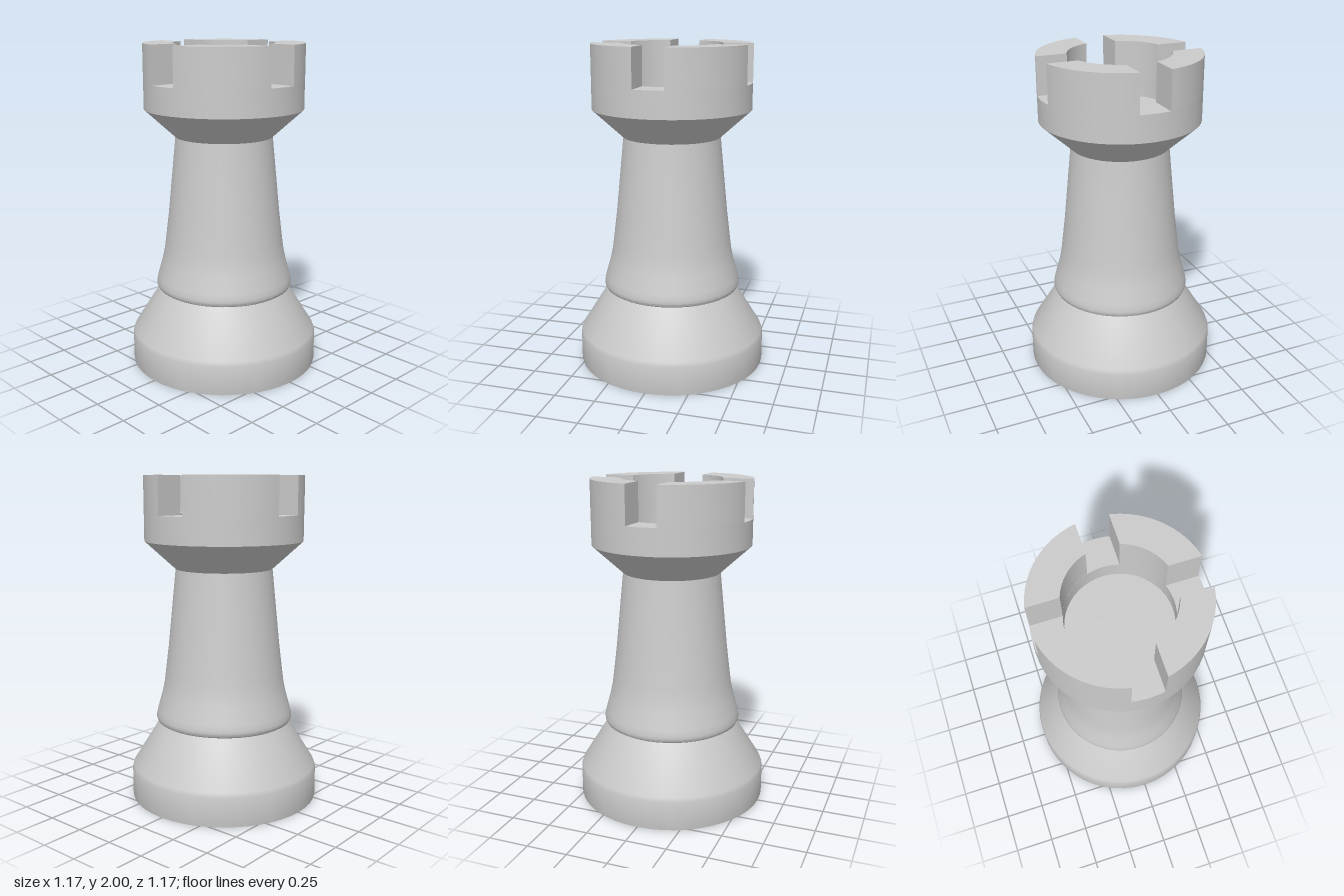
import * as THREE from 'three';
import { toCreasedNormals } from 'three/addons/utils/BufferGeometryUtils.js';

const SIDES = 48;
const CREASE = 0.45;
const CROWN_R = 0.485, POCKET_R = 0.305, SLOT_HALF = 0.093;
const SLOT_FLOOR = 1.77, TOP = 2;

const material = new THREE.MeshStandardMaterial({ color: 0xcccccc });

function turned(name, profile) {
  const points = profile.map(([r, y]) => new THREE.Vector2(r, y));
  const geometry = toCreasedNormals(new THREE.LatheGeometry(points, SIDES), CREASE);
  const mesh = new THREE.Mesh(geometry, material);
  mesh.name = name;
  return mesh;
}

// One quarter of the parapet, with slot walls parallel to the axes
function merlonGeometry() {
  const outer = Math.asin(SLOT_HALF / CROWN_R);
  const inner = Math.asin(SLOT_HALF / POCKET_R);
  const shape = new THREE.Shape();
  shape.absarc(0, 0, CROWN_R, outer, Math.PI / 2 - outer, false);
  shape.absarc(0, 0, POCKET_R, Math.PI / 2 - inner, inner, true);
  shape.closePath();
  const geometry = new THREE.ExtrudeGeometry(shape, {
    depth: TOP - SLOT_FLOOR, bevelEnabled: false, curveSegments: 12,
  });
  geometry.rotateX(-Math.PI / 2);
  geometry.translate(0, SLOT_FLOOR, 0);
  return toCreasedNormals(geometry, CREASE);
}

export function createModel() {
  const model = new THREE.Group();
  model.name = 'rook';

  // Base with a flared recess underneath
  model.add(turned('base', [
    [0, 0.6], [0.23, 0.6], [0.23, 0.1], [0.238, 0.06], [0.262, 0.025], [0.3, 0],
    [0.583, 0], [0.585, 0.01], [0.585, 0.18], [0.577, 0.205], [0.405, 0.48],
  ]));

  // Tapered column with a rounded foot
  model.add(turned('column', [
    [0.405, 0.48], [0.418, 0.488], [0.426, 0.505], [0.426, 0.525], [0.418, 0.56],
    [0.39, 0.66], [0.375, 0.73], [0.366, 0.8], [0.345, 0.97], [0.298, 1.44],
  ]));

  // Flared crown with a sunken middle
  model.add(turned('crown', [
    [0.298, 1.44], [CROWN_R, 1.61], [CROWN_R, SLOT_FLOOR],
    [POCKET_R, SLOT_FLOOR], [POCKET_R, 1.66], [0, 1.66],
  ]));

  // Four merlons around the rim
  const geometry = merlonGeometry();
  for (let i = 0; i < 4; i++) {
    const merlon = new THREE.Mesh(geometry, material);
    merlon.name = `merlon${i + 1}`;
    merlon.rotation.y = i * Math.PI / 2;
    model.add(merlon);
  }
  return model;
}
